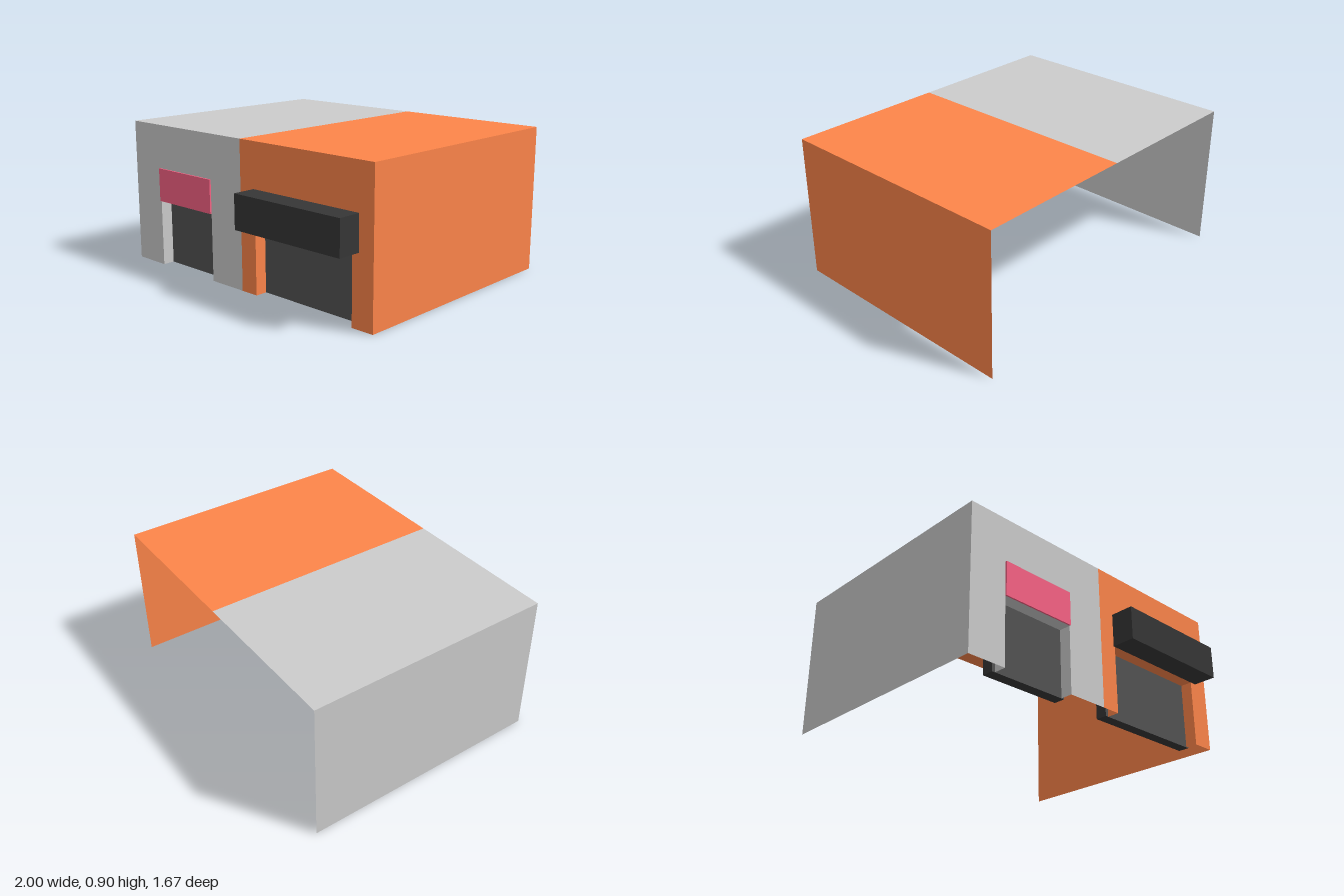
import * as THREE from 'three';

const FRONT = 0.69, BACK = -0.84, TOP = 0.905;
const DOOR_TOP = 0.42, SIGN_TOP = 0.63;

const material = (color) => new THREE.MeshStandardMaterial({ color, side: THREE.DoubleSide, flatShading: true });

export function createModel() {
  const model = new THREE.Group();
  const grey = material(0xcccccc), orange = material(0xfd854a), pink = material(0xf86385);
  const doorDark = material(0x535353), black = material(0x363636);

  const add = (group, name, geometry, mat) => {
    const mesh = new THREE.Mesh(geometry, mat);
    mesh.name = name;
    group.add(mesh);
    return mesh;
  };
  // Thin sheets facing each axis
  const sheetZ = (g, name, x0, x1, y0, y1, z, mat) =>
    add(g, name, new THREE.PlaneGeometry(x1 - x0, y1 - y0), mat).position.set((x0 + x1) / 2, (y0 + y1) / 2, z);
  const sheetX = (g, name, x, y0, y1, z0, z1, mat, facing) => {
    const m = add(g, name, new THREE.PlaneGeometry(z1 - z0, y1 - y0), mat);
    m.rotation.y = facing * Math.PI / 2;
    m.position.set(x, (y0 + y1) / 2, (z0 + z1) / 2);
  };
  const sheetY = (g, name, x0, x1, y, z0, z1, mat, facing) => {
    const m = add(g, name, new THREE.PlaneGeometry(x1 - x0, z1 - z0), mat);
    m.rotation.x = -facing * Math.PI / 2;
    m.position.set((x0 + x1) / 2, y, (z0 + z1) / 2);
  };
  // Open rectangular sleeve running along z
  const sleeve = (g, name, x0, x1, y0, y1, z0, z1, mat, bottom = true) => {
    sheetX(g, name + 'Right', x0, y0, y1, z0, z1, mat, -1);
    sheetX(g, name + 'Left', x1, y0, y1, z0, z1, mat, 1);
    sheetY(g, name + 'Top', x0, x1, y1, z0, z1, mat, 1);
    if (bottom) sheetY(g, name + 'Bottom', x0, x1, y0, z0, z1, mat, -1);
  };

  const unit = (name, x0, x1, door, sign, signFront, wallMat, signMat) => {
    const g = new THREE.Group();
    g.name = name;
    model.add(g);

    // Front wall, notched for the doorway and the sign above it
    const wall = new THREE.Shape([
      [x0, 0], [door[0], 0], [door[0], DOOR_TOP], [sign[0], DOOR_TOP], [sign[0], SIGN_TOP],
      [sign[1], SIGN_TOP], [sign[1], DOOR_TOP], [door[1], DOOR_TOP], [door[1], 0],
      [x1, 0], [x1, TOP], [x0, TOP],
    ].map(([x, y]) => new THREE.Vector2(x, y)));
    add(g, 'frontWall', new THREE.ShapeGeometry(wall), wallMat).position.z = FRONT;

    // Roof and outer side wall; the rear and floor stay open
    sheetY(g, 'roof', x0, x1, TOP, BACK, FRONT, wallMat, 1);
    const side = x0 < 0 ? -1 : 1;
    sheetX(g, 'sideWall', side, 0, TOP, BACK, FRONT, wallMat, side);

    // Doorway reveal, recessed door and its rear frame
    const doorZ = FRONT - 0.075, e = 0.02;
    sleeve(g, 'doorReveal', door[0], door[1], 0, DOOR_TOP, doorZ, FRONT, wallMat, false);
    sheetZ(g, 'door', door[0] - e, door[1] + e, 0, DOOR_TOP + e, doorZ, doorDark);
    sleeve(g, 'doorFrame', door[0] - e, door[1] + e, 0, DOOR_TOP + e, doorZ - 0.07, doorZ, black);
    sheetZ(g, 'doorBack', door[0] - e, door[1] + e, 0, DOOR_TOP + e, doorZ - 0.035, wallMat);

    // Sign box with a shallow rim and a backing sheet
    const signBack = FRONT + 0.007;
    const box = new THREE.BoxGeometry(sign[1] - sign[0], SIGN_TOP - DOOR_TOP, signFront - signBack);
    add(g, 'signBox', box, signMat).position.set(
      (sign[0] + sign[1]) / 2, (DOOR_TOP + SIGN_TOP) / 2, (signFront + signBack) / 2);
    sleeve(g, 'signRim', sign[0], sign[1], DOOR_TOP, SIGN_TOP, FRONT, signBack, signMat);
    sheetZ(g, 'signBacking', sign[0], sign[1], DOOR_TOP, SIGN_TOP, signBack - 0.002, wallMat);
  };

  unit('greyUnit', -1, 0, [-0.755, -0.265], [-0.755, -0.265], 0.70, grey, pink);
  unit('orangeUnit', 0, 1, [0.12, 0.855], [0.11, 0.90], 0.835, orange, black);

  return model;
}
